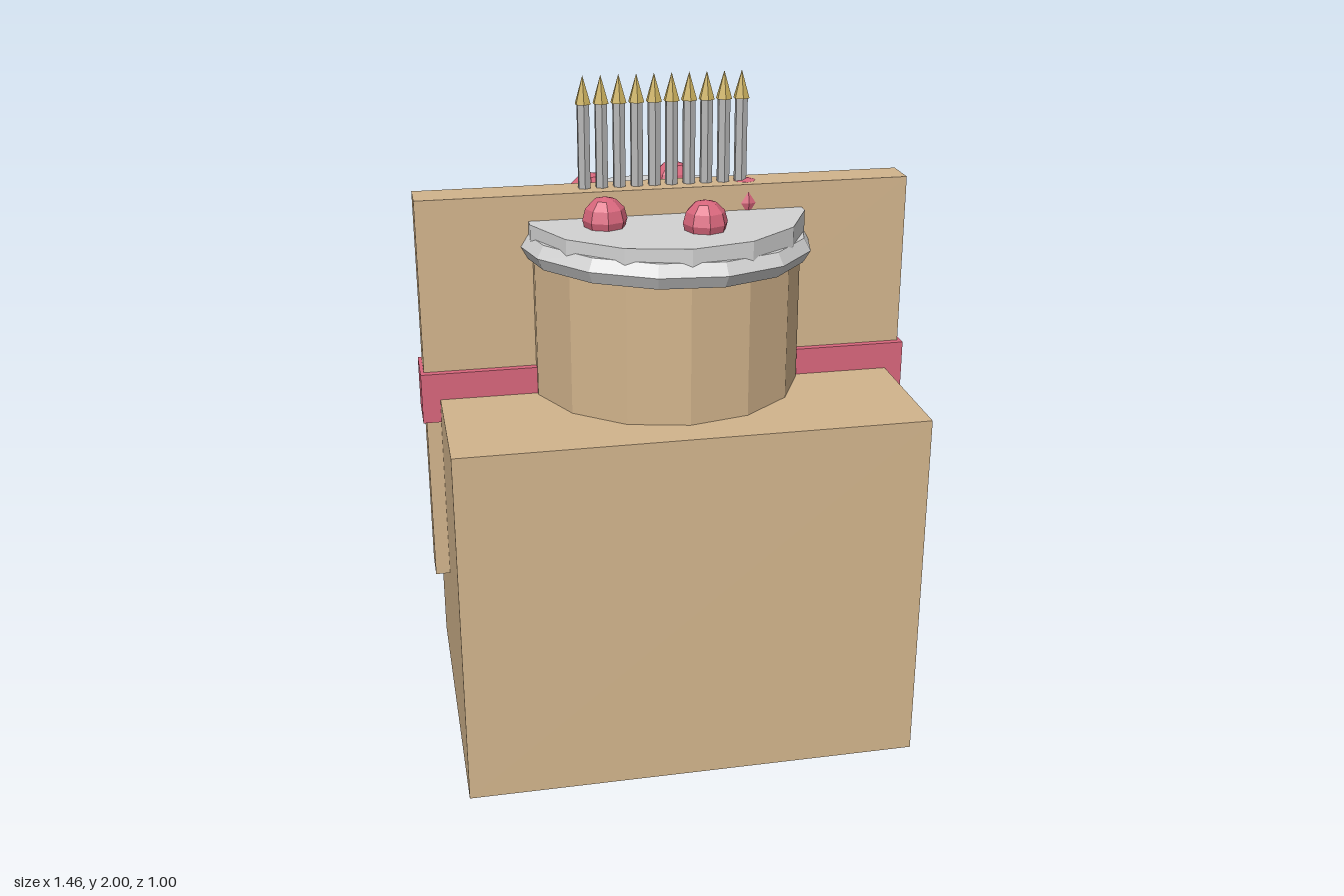
import * as THREE from 'three';

const material = (name, color) => {
  const m = new THREE.MeshStandardMaterial({ color, flatShading: true });
  m.name = name;
  return m;
};

export function createModel() {
  const model = new THREE.Group();
  model.name = 'decoratedBox';
  const tan = material('tan', 0xd2b48c);
  const pink = material('pink', 0xd8667c);
  const silver = material('silver', 0xd3d3d3);
  const grey = material('grey', 0xb8b8b8);
  const gold = material('gold', 0xc9ae5c);

  const add = (name, geometry, mat, x, y, z) => {
    const mesh = new THREE.Mesh(geometry, mat);
    mesh.name = name;
    mesh.position.set(x, y, z);
    model.add(mesh);
    return mesh;
  };

  // Body, upright panel through its middle, and the crossing band
  add('base', new THREE.BoxGeometry(1.35, 1.09, 1), tan, 0, 0.545, 0);
  add('panel', new THREE.BoxGeometry(1.435, 1.17, 0.11), tan, 0, 1.095, 0);
  add('band', new THREE.BoxGeometry(1.456, 0.15, 0.152), pink, 0, 1.095, 0);

  // Drum with a flat lid and a slightly tilted rim
  add('drum', new THREE.CylinderGeometry(0.4, 0.4, 0.45, 14), tan, 0, 1.315, 0);
  add('lid', new THREE.CylinderGeometry(0.41, 0.41, 0.1, 14), silver, 0, 1.555, 0);
  const rim = add('rim', new THREE.TorusGeometry(0.395, 0.041, 6, 14).rotateX(Math.PI / 2), silver, 0, 1.518, 0);
  rim.rotation.set(-0.028, 0, -0.028);

  // Five berries in a ring on the lid
  const berry = new THREE.SphereGeometry(0.064, 8, 6);
  for (let i = 0; i < 5; i++) {
    const a = (i * Math.PI * 2) / 5;
    add('berry', berry, pink, 0.24 * Math.cos(a), 1.625, 0.24 * Math.sin(a));
  }

  // Row of ten sticks with pointed tips
  const stick = new THREE.CylinderGeometry(0.019, 0.019, 0.3, 6);
  const tip = new THREE.ConeGeometry(0.024, 0.08, 6);
  for (let i = 0; i < 10; i++) {
    const x = -0.23 + i * 0.0508;
    add('stick', stick, grey, x, 1.77, 0);
    add('tip', tip, gold, x, 1.96, 0);
  }
  return model;
}
